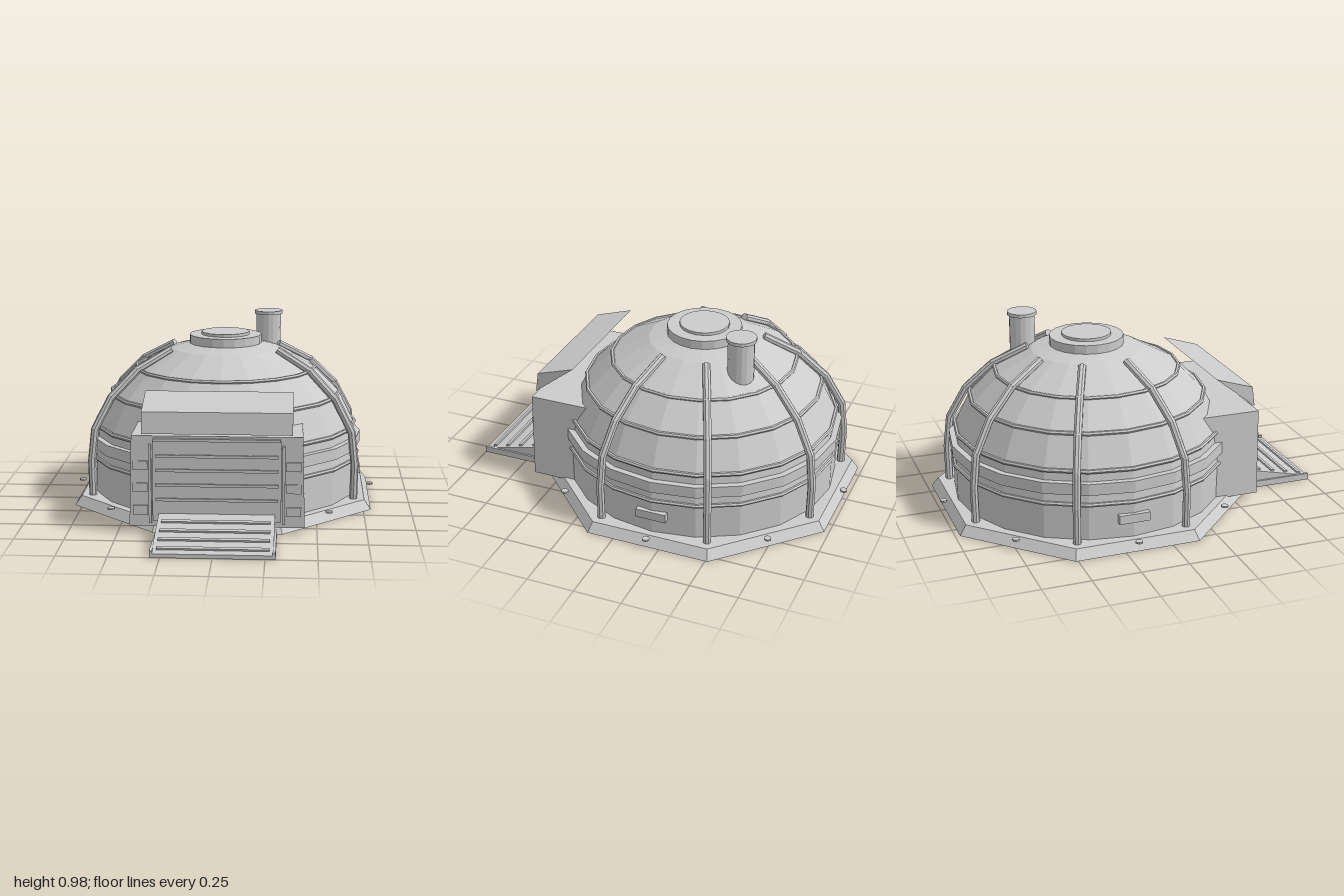
import * as THREE from 'three';

const material = new THREE.MeshStandardMaterial({ color: 0xcccccc, flatShading: true });
const CZ = -0.185; // centre of the dome along z
const SIDES = 20;

function add(parent, name, geometry, x = 0, y = 0, z = 0) {
  const mesh = new THREE.Mesh(geometry, material);
  mesh.name = name;
  mesh.position.set(x, y, z);
  parent.add(mesh);
  return mesh;
}

const box = (w, h, d) => new THREE.BoxGeometry(w, h, d);

// Upright drum given by its bottom and top heights
function drum(parent, name, rBottom, rTop, y0, y1, sides, x = 0, z = 0) {
  return add(parent, name, new THREE.CylinderGeometry(rTop, rBottom, y1 - y0, sides), x, (y0 + y1) / 2, z);
}

// Cylinder with a rounded joint at its start, between two points
function rod(parent, name, a, b, radius) {
  const dir = b.clone().sub(a);
  const mesh = add(parent, name, new THREE.CylinderGeometry(radius, radius, dir.length(), 8));
  mesh.position.copy(a).add(b).multiplyScalar(0.5);
  mesh.quaternion.setFromUnitVectors(new THREE.Vector3(0, 1, 0), dir.normalize());
}

// Prism across x from a profile of [z, y] points
function prismX(points, width) {
  const shape = new THREE.Shape(points.map(([z, y]) => new THREE.Vector2(-z, y)));
  const geometry = new THREE.ExtrudeGeometry(shape, { depth: width, bevelEnabled: false });
  return geometry.translate(0, 0, -width / 2).rotateY(Math.PI / 2);
}

export function createModel() {
  const model = new THREE.Group();
  model.name = 'domeShelter';

  // Octagonal foundation with sloping rim
  const k = Math.cos(Math.PI / 8);
  drum(model, 'foundation', 0.79 / k, 0.755 / k, 0, 0.05, 8, 0, CZ).rotation.y = Math.PI / 8;

  // Anchor discs at the middle of each foundation edge except the entrance
  for (let i = 1; i < 8; i++) {
    const a = (i * Math.PI) / 4;
    drum(model, 'anchorDisc', 0.019, 0.019, 0.05, 0.059, 10, Math.sin(a) * 0.797, CZ + Math.cos(a) * 0.797);
  }

  // Dome shell
  const dome = new THREE.Group();
  dome.name = 'dome';
  dome.position.z = CZ;
  model.add(dome);
  const profile = [[0.72, 0.04], [0.72, 0.25], [0.7, 0.41], [0.62, 0.575], [0.485, 0.71], [0.29, 0.815], [0.17, 0.845], [0, 0.845]];
  add(dome, 'shell', new THREE.LatheGeometry(profile.map(([r, y]) => new THREE.Vector2(r, y)), SIDES));

  // Hoops around the shell
  for (const [r, y] of [[0.724, 0.24], [0.706, 0.41], [0.622, 0.575], [0.485, 0.71]]) {
    add(dome, 'hoop', new THREE.TorusGeometry(r, 0.011, 6, SIDES).rotateX(Math.PI / 2), 0, y, 0);
  }
  drum(dome, 'wideBand', 0.738, 0.738, 0.297, 0.357, SIDES);

  // Ribs on the sides and back
  const ribLine = [[0.31, 0.815], [0.5, 0.715], [0.645, 0.577], [0.738, 0.41], [0.758, 0.24], [0.755, 0.05]];
  for (let i = 1; i < 7; i++) {
    const a = ((i + 0.5) * Math.PI) / 4;
    const rib = new THREE.Group();
    rib.name = 'rib';
    dome.add(rib);
    const pts = ribLine.map(([r, y]) => new THREE.Vector3(Math.sin(a) * r, y, Math.cos(a) * r));
    for (let j = 1; j < pts.length; j++) {
      rod(rib, 'ribSegment', pts[j - 1], pts[j], 0.021);
      if (j < pts.length - 1) {
        add(rib, 'ribJoint', new THREE.SphereGeometry(0.021, 8, 6)).position.copy(pts[j]);
      }
    }
  }

  // Roof hatch and chimney
  drum(dome, 'hatchBase', 0.195, 0.195, 0.835, 0.885, SIDES);
  drum(dome, 'hatchLid', 0.13, 0.13, 0.885, 0.9, SIDES);
  drum(model, 'chimney', 0.068, 0.068, 0.7, 0.957, 16, 0.228, -0.467);
  drum(model, 'chimneyCap', 0.078, 0.078, 0.957, 0.975, 16, 0.228, -0.467);

  // Side wall vents
  for (const s of [-1, 1]) add(dome, 'sideVent', box(0.04, 0.046, 0.16), s * 0.718, 0.155, 0);

  // Entrance block, slightly narrower at the top
  const front = new THREE.Shape([[-0.438, 0.04], [0.438, 0.04], [0.425, 0.503], [-0.425, 0.503]].map((p) => new THREE.Vector2(...p)));
  add(model, 'entranceBlock', new THREE.ExtrudeGeometry(front, { depth: 0.52, bevelEnabled: false }), 0, 0, 0.1);

  // Canopy wedge over the door
  add(model, 'canopy', prismX([[0.62, 0.512], [0.605, 0.62], [0.4, 0.685]], 0.75));

  // Door with slats and frame
  add(model, 'door', box(0.64, 0.41, 0.012), 0, 0.275, 0.622);
  for (const y of [0.18, 0.255, 0.33, 0.403]) add(model, 'doorSlat', box(0.61, 0.014, 0.014), 0, y, 0.63);
  add(model, 'doorLintel', box(0.63, 0.014, 0.024), 0, 0.485, 0.625);
  for (const s of [-1, 1]) {
    add(model, 'doorJamb', box(0.014, 0.4, 0.026), s * 0.332, 0.26, 0.625);
    for (const y of [0.123, 0.24, 0.353]) add(model, 'hinge', box(0.075, 0.047, 0.014), s * 0.382, y, 0.62);
  }

  // Entrance ramp with grip bars and low side rails
  const slope = (z) => 0.107 - (z - 0.63) * 0.235;
  add(model, 'ramp', prismX([[0.625, 0], [1, 0], [1, slope(1)], [0.625, slope(0.625)]], 0.58));
  for (const z of [0.71, 0.795, 0.875, 0.955]) {
    add(model, 'gripBar', box(0.54, 0.012, 0.02), 0, slope(z) + 0.003, z).rotation.x = 0.23;
  }
  for (const s of [-1, 1]) add(model, 'rampRail', box(0.014, 0.035, 0.37), s * 0.293, 0.0175, 0.815);

  return model;
}
